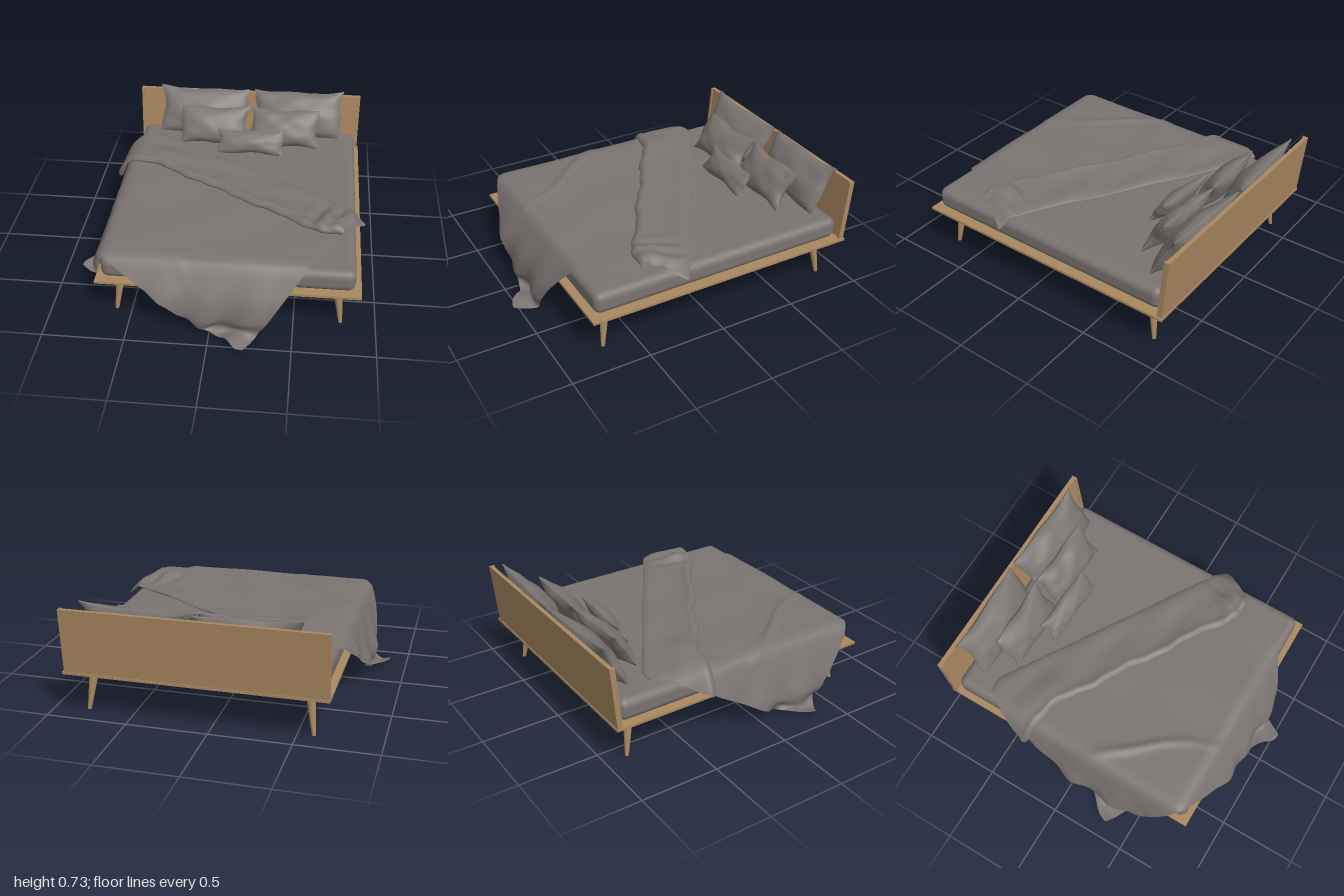
import * as THREE from 'three';
import { RoundedBoxGeometry } from 'three/addons/geometries/RoundedBoxGeometry.js';

const V2 = (x, y) => new THREE.Vector2(x, y);
const V3 = (x, y, z) => new THREE.Vector3(x, y, z);
const bump = (x, z, cx, cz, r) => Math.exp(-((x - cx) ** 2 + (z - cz) ** 2) / (r * r));

// Moves every vertex of a geometry by a rule
function warp(geo, rule) {
  const p = geo.attributes.position, v = V3();
  for (let i = 0; i < p.count; i++) {
    rule(v.fromBufferAttribute(p, i));
    p.setXYZ(i, v.x, v.y, v.z);
  }
  geo.computeVertexNormals();
  return geo;
}

// Cushion with pinched edges, pointed corners and a thin seam
function pillowGeometry(w, h, t, seed) {
  return warp(new THREE.BoxGeometry(2, 2, 2, 28, 20, 1), v => {
    const { x, y } = v, side = Math.sign(v.z);
    const full = Math.pow(Math.max(0, (1 - x * x) * (1 - y * y)), 0.55);
    const crease = 1 + 0.07 * Math.sin(7 * x + seed) * Math.sin(5 * y + 2 * seed) + 0.05 * Math.sin(11 * x * y + seed);
    v.x = x * w / 2 * (1 - 0.07 * (1 - y * y)) + 0.008 * Math.sin(4 * y + seed) * x * x;
    v.y = y * h / 2 * (1 - 0.1 * (1 - x * x)) + 0.006 * Math.sin(5 * x + seed) * y * y;
    v.z = side * (0.005 + t / 2 * full * crease * (1 - 0.15 * y));
  });
}

// Square blanket laid diagonally, folded back at the top, two corners hanging to the floor
function blanketGeometry() {
  const corner = V2(-0.58, -0.73), along = V2(0.85, 0.527), across = V2(-0.527, 0.85);
  const width = 1.765, cols = 90, foldRows = 34, bodyRows = 80;

  // Fall of the cloth over an edge: distance outwards and height
  const fall = pts => new THREE.SplineCurve(pts.map(p => V2(...p)));
  const leftFall = fall([[0, 0.445], [0.06, 0.425], [0.1, 0.34], [0.135, 0.22], [0.165, 0.1], [0.15, 0.015], [0.29, 0.008]]);
  const frontFall = fall([[0, 0.445], [0.06, 0.425], [0.12, 0.34], [0.18, 0.22], [0.2, 0.1], [0.18, 0.015], [0.3, 0.008]]);
  const leftLength = leftFall.getLength(), frontLength = frontFall.getLength();

  function drape(s, v, h, flap) {
    const x = corner.x + along.x * s + across.x * v;
    const z = corner.y + along.y * s + across.y * v;
    const ex = Math.max(0, -0.62 - x), ez = Math.max(0, z - 0.7), e = Math.hypot(ex, ez);

    // Soft wrinkles and the larger creases
    h += 0.004 * Math.sin(9 * x + 4 * z) * Math.sin(7 * z - 3 * x) + 0.004;
    const line = x + 0.42 - 0.6 * (z - 0.35) + 0.03 * Math.sin(9 * z);
    h += 0.016 * Math.exp(-((line / 0.025) ** 2)) * bump(x, z, -0.38, 0.4, 0.35);
    const line2 = x + 0.6 - 0.75 * (z - 0.15);
    h += 0.012 * Math.exp(-((line2 / 0.03) ** 2)) * bump(x, z, -0.6, 0.2, 0.25);
    if (flap > 0) {
      h += flap * (0.022 * bump(x, z, -0.42, -0.36, 0.13) + 0.045 * bump(x, z, 0.71, 0.34, 0.07));
      h += flap * 0.007 * Math.sin(26 * v + 5 * s) * Math.sin(6 * s);
      h += flap * 0.016 * Math.sin(50 * x + 20 * z) * bump(x, z, 0.72, 0.3, 0.14);
    }
    if (x > 0.84) h -= Math.min(0.07, (x - 0.84) * 0.9);
    if (e === 0) return V3(x, 0.445 + h, z);

    const front = ez / e;
    const a = leftFall.getPointAt(Math.min(1, e / leftLength));
    const b = frontFall.getPointAt(Math.min(1, e / frontLength));
    const p = a.lerp(b, front), k = Math.min(1, e / 0.14), deep = Math.min(1, e / 0.5) ** 2;
    const ripple = front > 0.5 ? Math.sin(22 * x + 5 * e) : Math.sin(20 * z + 4 * e);
    const out = p.x + h * k + 0.022 * deep * ripple;
    const y = Math.max(0.005, p.y + h * (1 - k) + 0.012 * deep * (1 + Math.sin(31 * x + 27 * z)));
    return V3(x + ex - out * ex / e, y, z - ez + out * front);
  }

  const pos = [], index = [], rows = foldRows + bodyRows;
  for (let i = 0; i <= cols; i++) {
    const u = i / cols, s = u * width;
    const start = u < 0.06 ? 0.05 * (1 - u / 0.06) ** 2 : 0;
    const w = 0.335 + (u < 0.25 ? 0.11 * (1 - u / 0.25) ** 2 : 0) - (u > 0.93 ? 0.7 * (u - 0.93) : 0)
      + 0.008 * Math.sin(23 * u) + 0.004 * Math.sin(61 * u);
    // Cross-section of the folded-back strip, from its loose hem to the fold
    const strip = fall([[w - 0.04, 0.004], [w, 0.008], [w + 0.006, 0.026], [w - 0.025, 0.046], [w - 0.07, 0.034],
      [w * 0.5, 0.032], [w * 0.25, 0.028], [start + 0.03, 0.024], [start, 0.012], [start + 0.015, 0]]);
    const length = 1.25 + 0.13 * u;
    for (let j = 0; j <= rows; j++) {
      let p;
      if (j <= foldRows) {
        const c = strip.getPoint(j / foldRows);
        p = drape(s, c.x, c.y, Math.min(1, c.y / 0.03));
      } else {
        const from = start + 0.015;
        p = drape(s, from + (length - from) * (j - foldRows) / bodyRows, 0, 0);
      }
      pos.push(p.x, p.y, p.z);
      if (i < cols && j < rows) {
        const a = i * (rows + 1) + j, b = a + rows + 1;
        index.push(a, a + 1, b, b, a + 1, b + 1);
      }
    }
  }
  const geo = new THREE.BufferGeometry();
  geo.setAttribute('position', new THREE.Float32BufferAttribute(pos, 3));
  geo.setIndex(index);
  geo.computeVertexNormals();
  return geo;
}

export function createModel() {
  const model = new THREE.Group();
  model.name = 'bed';
  const wood = new THREE.MeshStandardMaterial({ color: 0xa98861 });
  wood.name = 'oak wood';
  const fabric = new THREE.MeshStandardMaterial({ color: 0x7a7471, side: THREE.DoubleSide });
  fabric.name = 'grey fabric';

  function add(name, geo, mat, x = 0, y = 0, z = 0) {
    const mesh = new THREE.Mesh(geo, mat);
    mesh.name = name;
    mesh.position.set(x, y, z);
    model.add(mesh);
    return mesh;
  }

  // Platform with a bevelled underside
  add('platform', new THREE.BoxGeometry(1.6, 0.016, 1.78), wood, 0.098, 0.272, -0.08);
  const bevel = warp(new THREE.BoxGeometry(1.6, 0.026, 1.78), v => {
    if (v.y < 0) { v.x -= Math.sign(v.x) * 0.05; v.z -= Math.sign(v.z) * 0.055; }
  });
  add('platformBevel', bevel, wood, 0.098, 0.251, -0.08);

  // Headboard leaning back, with a narrow strip on each side
  const lean = geo => warp(geo, v => { v.z -= 0.035 * (v.y / 0.4 + 0.5); });
  add('headboard', lean(new THREE.BoxGeometry(1.55, 0.4, 0.026)), wood, 0.094, 0.48, -0.952);
  for (const x of [-0.69, 0.878]) {
    add('headboardSide', lean(new THREE.BoxGeometry(0.018, 0.4, 0.034)), wood, x, 0.48, -0.948);
  }

  // Tapered legs splayed outwards
  for (const [tx, bx] of [[-0.565, -0.595], [0.757, 0.788]]) {
    for (const [tz, bz] of [[0.675, 0.703], [-0.822, -0.855]]) {
      const leg = warp(new THREE.CylinderGeometry(0.03, 0.012, 0.242, 20), v => {
        const k = 0.5 - v.y / 0.242;
        v.x += (bx - tx) * k;
        v.z += (bz - tz) * k;
      });
      add('leg', leg, wood, tx, 0.121, tz);
    }
  }

  add('mattress', new RoundedBoxGeometry(1.53, 0.142, 1.7, 5, 0.05), fabric, 0.095, 0.351, -0.075);

  // Cushions: centre, size, backward tilt, turn
  const cushions = [
    ['backPillow', -0.22, 0.568, -0.882, 0.64, 0.335, 0.15, 0.5, 0.04],
    ['backPillow', 0.45, 0.57, -0.882, 0.64, 0.335, 0.15, 0.5, -0.04],
    ['middlePillow', -0.14, 0.542, -0.715, 0.49, 0.275, 0.13, 0.56, 0.03],
    ['middlePillow', 0.36, 0.54, -0.715, 0.49, 0.275, 0.13, 0.56, -0.03],
    ['smallPillow', 0.13, 0.5, -0.568, 0.47, 0.17, 0.09, 0.6, -0.05],
  ];
  cushions.forEach(([name, x, y, z, w, h, t, tilt, turn], i) => {
    const mesh = add(name, pillowGeometry(w, h, t, 1.7 * i + 0.5), fabric, x, y, z);
    mesh.rotation.set(-tilt, turn, 0);
  });

  add('blanket', blanketGeometry(), fabric);
  return model;
}
